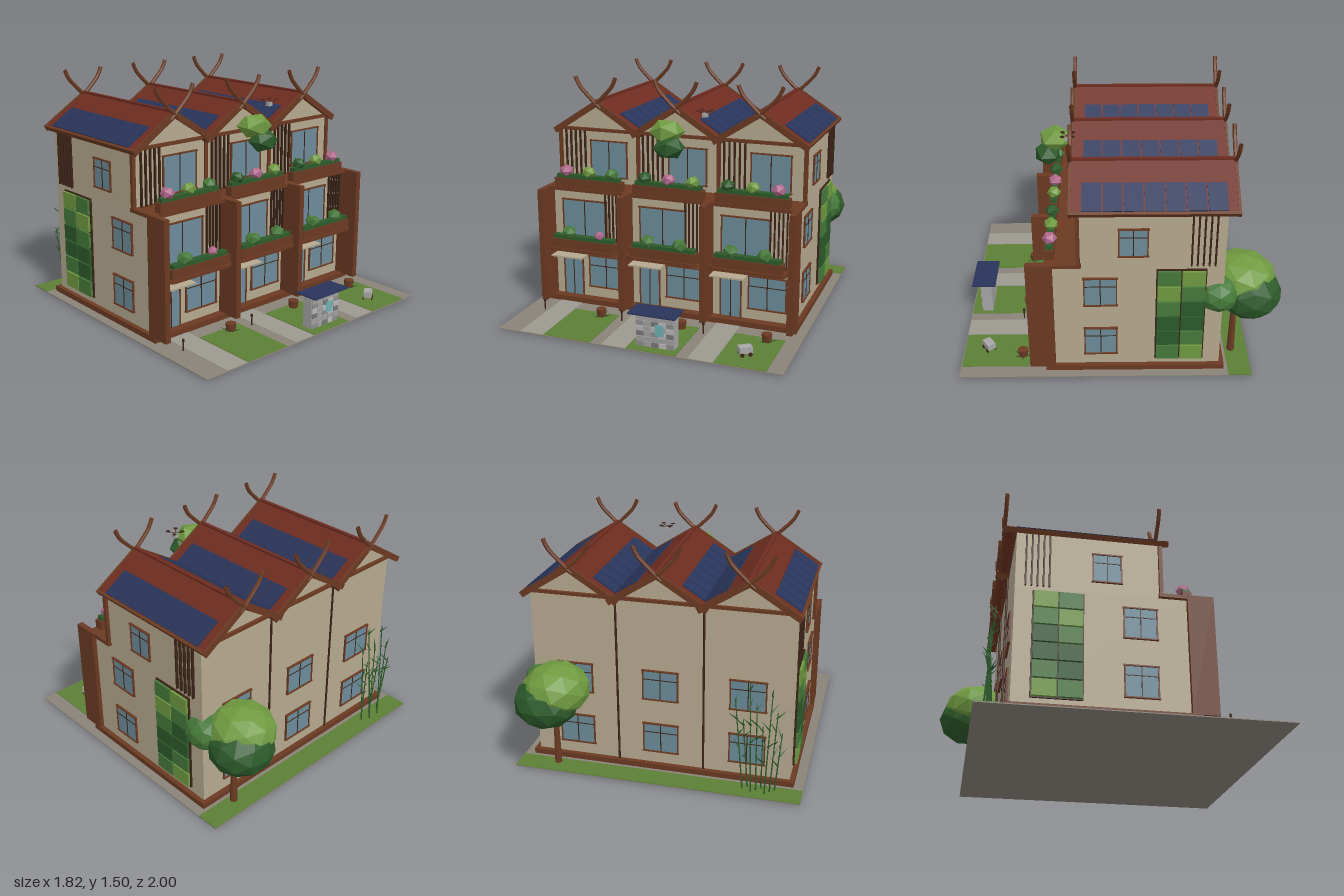
import * as THREE from 'three';

const C = { wall: 0xb5a98f, wood: 0x6b3a22, dark: 0x3c2317, roof: 0x6e2c20, glass: 0x6c8c9a, panel: 0x28345a,
  leafD: 0x2c5a2a, leafM: 0x46793a, leafL: 0x6f9a40, pink: 0xb0688c, lawn: 0x5c7f36, paving: 0x8a8278, path: 0x9c9890, stone: 0xa6a6a6 };
const mats = {};
const mat = (c) => mats[c] ??= new THREE.MeshStandardMaterial({ color: c, flatShading: true, side: THREE.DoubleSide });

function add(parent, name, geo, color, x = 0, y = 0, z = 0) {
  const m = new THREE.Mesh(geo, mat(color));
  m.name = name;
  m.position.set(x, y, z);
  parent.add(m);
  return m;
}
// Box given by its extents on each axis
function span(parent, name, color, x0, x1, y0, y1, z0, z1) {
  return add(parent, name, new THREE.BoxGeometry(x1 - x0, y1 - y0, z1 - z0), color, (x0 + x1) / 2, (y0 + y1) / 2, (z0 + z1) / 2);
}
function group(parent, name, x = 0, y = 0, z = 0, ry = 0) {
  const g = new THREE.Group();
  g.name = name;
  g.position.set(x, y, z);
  g.rotation.y = ry;
  parent.add(g);
  return g;
}
// Faceted foliage
function bush(parent, name, color, x, y, z, rx, ry = rx, rz = rx, detail = 0) {
  const m = add(parent, name, new THREE.IcosahedronGeometry(1, detail), color, x, y, z);
  m.scale.set(rx, ry, rz);
  m.rotation.y = x * 7;
  return m;
}
// Framed glazing facing +z, centred on its own origin
function windowUnit(parent, name, w, h, x, y, z, ry = 0, crossbar = true) {
  const g = group(parent, name, x, y, z, ry), t = 0.008;
  span(g, 'glass', C.glass, -w / 2, w / 2, -h / 2, h / 2, -0.01, 0.004);
  for (const s of [-1, 1]) {
    span(g, 'frameSide', C.wood, s * w / 2 - t / 2, s * w / 2 + t / 2, -h / 2, h / 2, -0.01, 0.01);
    span(g, 'frameRail', C.wood, -w / 2 - t, w / 2 + t, s * h / 2 - t / 2, s * h / 2 + t / 2, -0.01, 0.013);
  }
  span(g, 'mullion', C.dark, -0.003, 0.003, -h / 2, h / 2, 0, 0.007);
  if (crossbar) span(g, 'crossbar', C.dark, -w / 2, w / 2, h * 0.18, h * 0.18 + 0.005, 0, 0.007);
}
// Balcony plate with rounded front corners
function roundedSlab(parent, name, color, x, y, z0, z1, half, h) {
  const s = new THREE.Shape(), r = 0.04;
  s.moveTo(-half, -z0);
  s.lineTo(half, -z0);
  s.lineTo(half, -z1 + r);
  s.quadraticCurveTo(half, -z1, half - r, -z1);
  s.lineTo(-half + r, -z1);
  s.quadraticCurveTo(-half, -z1, -half, -z1 + r);
  const geo = new THREE.ExtrudeGeometry(s, { depth: h, bevelEnabled: false, curveSegments: 4 });
  add(parent, name, geo.rotateX(-Math.PI / 2), color, x, y, 0);
}

const PITCH = 0.548, UNITS = [-PITCH, 0, PITCH], SLOPE = Math.atan(0.64);

function buildGround(root) {
  const g = group(root, 'ground');
  span(g, 'paving', C.paving, -0.91, 0.91, 0.044, 0.05, -0.82, 1);
  span(g, 'backLawn', C.lawn, -0.91, 0.91, 0.048, 0.053, -0.82, -0.675);
  for (const x of UNITS) {
    span(g, 'path', C.path, x - 0.21, x - 0.055, 0.048, 0.052, 0.46, 0.995);
    span(g, 'lawn', C.lawn, x - 0.05, x + 0.265, 0.048, 0.053, 0.57, 0.995);
  }
}

function buildShell(root) {
  const g = group(root, 'shell');
  span(g, 'plinth', C.wood, -0.85, 0.85, 0.05, 0.085, -0.65, 0.46);
  span(g, 'lowerWalls', C.wall, -0.82, 0.82, 0.08, 0.82, -0.62, 0.4);
  // Top storey with three gables as one profile
  const s = new THREE.Shape();
  s.moveTo(-0.82, 0.81);
  s.lineTo(0.82, 0.81);
  s.lineTo(0.82, 1.185);
  for (const x of [...UNITS].reverse()) {
    s.lineTo(x, 1.355);
    s.lineTo(x - PITCH / 2, 1.185);
  }
  const geo = new THREE.ExtrudeGeometry(s, { depth: 0.865, bevelEnabled: false });
  add(g, 'upperWalls', geo, C.wall, 0, 0, -0.62);
  span(g, 'terrace', C.wood, -0.845, 0.845, 0.812, 0.835, 0.23, 0.45);
  for (const x of [-0.83, -0.274, 0.274, 0.83]) {
    span(g, 'finWall', C.wood, x - 0.019, x + 0.019, 0.08, 0.835, 0.4, 0.56);
    span(g, 'terracePost', C.wood, x - 0.012, x + 0.012, 0.83, 1.18, 0.235, 0.258);
  }
  for (const x of [-0.274, 0.274]) add(g, 'drainPipe', new THREE.CylinderGeometry(0.007, 0.007, 1.1, 6), C.dark, x, 0.635, -0.628);
}

function buildUnit(root, x, i) {
  const g = group(root, 'houseFront', x);
  // Ground floor: door, window and canopy
  windowUnit(g, 'door', 0.135, 0.285, -0.137, 0.225, 0.402, 0, false);
  windowUnit(g, 'groundWindow', 0.24, 0.215, 0.1, 0.265, 0.402);
  span(g, 'canopy', C.wall, -0.245, -0.025, 0.373, 0.383, 0.4, 0.51);
  windowUnit(g, 'middleWindow', 0.31, 0.26, -0.045, 0.615, 0.402, 0, false);
  windowUnit(g, 'topWindow', 0.255, 0.24, 0.065, 0.995, 0.247, 0, false);
  for (const y of [0.265, 0.63]) windowUnit(g, 'backWindow', 0.22, 0.195, 0, y, -0.622, Math.PI);
  // Slatted screens
  for (let k = 0; k < 5; k++) {
    const a = -0.235 + k * 0.034, b = 0.12 + k * 0.026;
    span(g, 'topSlat', C.dark, a - 0.005, a + 0.005, 0.83, 1.18, 0.255, 0.27);
    span(g, 'middleSlat', C.dark, b - 0.004, b + 0.004, 0.45, 0.82, 0.43, 0.445);
  }
  // Balcony and planters
  roundedSlab(g, 'balcony', C.wood, 0, 0.43, 0.4, 0.545, 0.245, 0.02);
  span(g, 'middlePlanter', C.wood, -0.225, 0.225, 0.445, 0.51, 0.475, 0.535);
  span(g, 'middleHedge', C.leafD, -0.21, 0.21, 0.505, 0.535, 0.482, 0.528);
  span(g, 'balconyLintel', C.wood, -0.26, 0.26, 0.812, 0.835, 0.4, 0.45);
  span(g, 'topPlanter', C.wood, -0.235, 0.235, 0.83, 0.895, 0.39, 0.445);
  span(g, 'topHedge', C.leafD, -0.22, 0.22, 0.89, 0.92, 0.396, 0.438);
  const top = [[C.pink, C.leafL, C.leafM], [C.leafD, C.pink, C.leafL], [C.leafD, C.leafL, C.pink]][i];
  top.forEach((c, k) => bush(g, 'topShrub', c, -0.16 + k * 0.16, 0.94, 0.415, 0.046, 0.04, 0.046));
  bush(g, 'middleShrub', C.leafM, -0.11, 0.555, 0.508, 0.052, 0.044, 0.05);
  bush(g, 'middleShrub', i ? C.leafM : C.pink, 0.105, 0.55, 0.508, i ? 0.048 : 0.032);
  // Garden stump and path light
  add(g, 'stump', new THREE.CylinderGeometry(0.034, 0.028, 0.05, 8), C.wood, 0.16, 0.077, 0.615);
  for (let k = 0; k < 6 && i !== 1; k++) {
    const leaf = add(g, 'stumpLeaf', new THREE.ConeGeometry(0.007, 0.06, 3), C.leafD, 0.16 + Math.cos(k) * 0.04, 0.06, 0.615 + Math.sin(k) * 0.04);
    leaf.rotation.set(Math.sin(k) * 1.2, 0, -Math.cos(k) * 1.2);
  }
  add(g, 'pathLight', new THREE.CylinderGeometry(0.004, 0.004, 0.06, 6), C.dark, -0.235, 0.08, 0.64);
  add(g, 'pathLightCap', new THREE.CylinderGeometry(0.008, 0.008, 0.016, 6), C.dark, -0.235, 0.115, 0.64);
}

function buildRoof(root, x) {
  const g = group(root, 'roof', x, 1.382, 0);
  for (const s of [-1, 1]) {
    const slope = group(g, 'roofSlope');
    slope.rotation.z = -s * SLOPE;
    const sp = (n, c, a, b, ...r) => span(slope, n, c, Math.min(s * a, s * b), Math.max(s * a, s * b), ...r);
    sp('roofPlane', C.roof, 0, 0.362, -0.024, 0, -0.675, 0.285);
    sp('eaveTrim', C.wood, 0.348, 0.366, -0.028, 0.004, -0.68, 0.29);
    for (const z of [-0.68, 0.288]) sp('bargeBoard', C.wood, -0.005, 0.368, -0.032, 0.006, z - 0.008, z + 0.008);
    for (let k = 0; k < 7; k++) sp('solarPanel', C.panel, 0.162, 0.346, 0, 0.008, -0.615 + k * 0.1205, -0.503 + k * 0.1205);
    // Crossed finials at both gable ends
    const curve = new THREE.CatmullRomCurve3([[-0.03, -0.045], [0.05, 0.03], [0.115, 0.1], [0.14, 0.155]]
      .map(([px, py]) => new THREE.Vector3(s * px, py, 0)));
    for (const z of [-0.68, 0.29]) add(g, 'finial', new THREE.TubeGeometry(curve, 8, 0.013, 6), C.wood, 0, 0, z);
  }
  for (const z of [-0.63, 0.255]) span(g, 'tieBeam', C.wood, -0.28, 0.28, -0.205, -0.185, z - 0.01, z + 0.01);
  span(g, 'ridgeCap', C.roof, -0.012, 0.012, -0.012, 0.006, -0.68, 0.29);
}

function buildSide(root, s) {
  const g = group(root, s > 0 ? 'leftSide' : 'rightSide'), ry = s * Math.PI / 2, X = s * 0.822;
  windowUnit(g, 'sideWindow', 0.195, 0.195, X, 0.263, 0.118, ry);
  windowUnit(g, 'sideWindow', 0.195, 0.195, X, 0.63, 0.118, ry);
  windowUnit(g, 'sideWindow', 0.17, 0.185, X, 0.977, -0.077, ry);
  for (let k = 0; k < 5; k++) add(g, 'sideSlat', new THREE.BoxGeometry(0.016, 0.35, 0.01), C.dark, s * 0.832, 0.995, -0.42 - k * 0.035);
  // Living wall in two columns of six
  add(g, 'livingWallFrame', new THREE.BoxGeometry(0.012, 0.665, 0.3), C.dark, s * 0.826, 0.458, -0.365);
  const greens = [C.leafM, C.leafD, C.leafL, C.leafD, C.leafM];
  for (let r = 0; r < 6; r++) for (let c = 0; c < 2; c++)
    add(g, 'livingWallTile', new THREE.BoxGeometry(0.02, 0.1, 0.138), greens[(r * 3 + c * 2) % 5], s * 0.838, 0.183 + r * 0.11, -0.292 - c * 0.146);
}

function buildGarden(root) {
  // Back tree
  const tree = group(root, 'tree');
  add(tree, 'trunk', new THREE.CylinderGeometry(0.016, 0.024, 0.4, 8), C.wood, 0.66, 0.25, -0.715);
  bush(tree, 'crown', C.leafD, 0.68, 0.53, -0.8, 0.2, 0.165, 0.205, 1);
  bush(tree, 'crown', C.leafL, 0.63, 0.6, -0.75, 0.22, 0.165, 0.21, 1);
  bush(tree, 'crown', C.leafM, 0.755, 0.58, -0.595, 0.14, 0.12, 0.14, 1);
  // Bamboo clump
  const bamboo = group(root, 'bamboo');
  for (let k = 0; k < 8; k++) {
    const h = 0.42 + ((k * 37) % 11) * 0.033, lean = (k % 3 - 1) * 0.07, bx = -0.74 + k * 0.028, bz = -0.71 - (k % 3) * 0.025;
    const cane = group(bamboo, 'cane', bx, 0.05, bz);
    cane.rotation.set(lean, 0, -(k - 3.5) * 0.025);
    add(cane, 'stem', new THREE.CylinderGeometry(0.003, 0.005, h, 5), C.leafD, 0, h / 2, 0);
    for (let j = 0; j < 4; j++) {
      const a = k * 1.9 + j * 2.4;
      const leaf = add(cane, 'leaf', new THREE.ConeGeometry(0.007, 0.085, 3), C.leafD, Math.cos(a) * 0.025, h * (0.5 + j * 0.16), Math.sin(a) * 0.02);
      leaf.rotation.set(Math.sin(a) * 0.8, 0, -Math.cos(a) * 0.8);
    }
  }
  // Hovering foliage in front of the middle gable
  bush(root, 'floatingCrown', C.leafL, -0.01, 1.245, 0.405, 0.112, 0.08, 0.11, 0);
  bush(root, 'floatingCrown', C.leafD, 0.02, 1.155, 0.455, 0.105, 0.075, 0.09, 0);
}

function buildProps(root) {
  // Stone kiosk with a panel roof
  const k = group(root, 'kiosk');
  span(k, 'kioskBody', C.stone, -0.01, 0.235, 0.05, 0.25, 0.86, 0.928);
  const greys = [0x8c8c8c, 0xb8b8b8, 0x777777, 0xa0a0a0];
  for (let r = 0; r < 6; r++) for (let c = 0; c < 5; c++)
    add(k, 'kioskBlock', new THREE.BoxGeometry(0.044, 0.029, 0.01), greys[(r * 7 + c * 3 + r * c) % 4], 0.016 + c * 0.048, 0.068 + r * 0.033, 0.929);
  span(k, 'kioskScreen', 0x6fb0b4, 0.115, 0.17, 0.13, 0.2, 0.93, 0.937);
  span(k, 'kioskRoof', C.panel, -0.04, 0.26, 0.267, 0.275, 0.83, 0.985);
  for (const x of [0.01, 0.215]) span(k, 'roofStrut', C.dark, x - 0.004, x + 0.004, 0.25, 0.268, 0.885, 0.9);
  // Small wheeled cart on the lawn
  const cart = group(root, 'cart', 0.64, 0.05, 0.84, 0.6);
  span(cart, 'cartBody', C.stone, -0.04, 0.04, 0.022, 0.06, -0.027, 0.027);
  for (const x of [-0.025, 0.025]) for (const z of [-0.027, 0.027])
    add(cart, 'wheel', new THREE.CylinderGeometry(0.013, 0.013, 0.008, 8).rotateX(Math.PI / 2), C.dark, x, 0.015, z);
  // Drone
  const d = group(root, 'drone', 0.205, 1.345, 0.315);
  span(d, 'droneBody', C.stone, -0.015, 0.015, -0.013, 0.013, -0.015, 0.015);
  for (const x of [-0.032, 0.032]) for (const z of [-0.032, 0.032]) {
    add(d, 'rotor', new THREE.CylinderGeometry(0.015, 0.015, 0.002, 8), C.dark, x, 0.028, z);
    const arm = add(d, 'arm', new THREE.BoxGeometry(0.045, 0.003, 0.003), C.dark, x / 2, 0.018, z / 2);
    arm.rotation.y = -Math.atan2(z, x);
  }
}

export function createModel() {
  const root = new THREE.Group();
  root.name = 'rowHouses';
  buildGround(root);
  buildShell(root);
  UNITS.forEach((x, i) => { buildUnit(root, x, i); buildRoof(root, x); });
  for (const s of [-1, 1]) buildSide(root, s);
  buildGarden(root);
  buildProps(root);
  return root;
}
